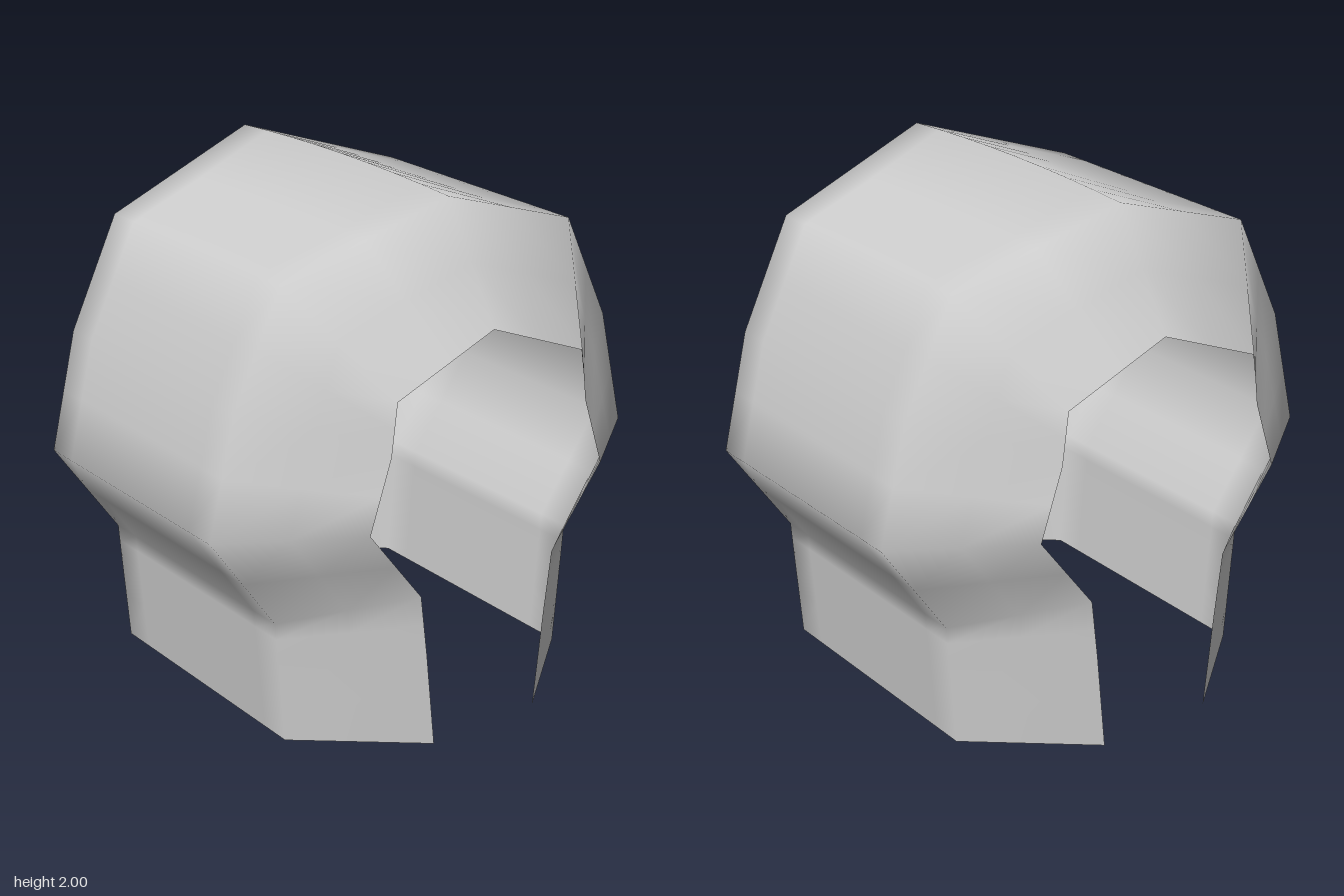
import * as THREE from 'three';

// Half profiles from the front hem to the ridge: middle section [z, y, half width] and side opening [z, y]
const MIDDLE = [[0.66, 0, 0.53], [0.69, 0.36, 0.53], [0.70, 0.49, 0.53], [0.97, 0.88, 0.53],
  [0.86, 1.34, 0.53], [0.66, 1.76, 0.53], [0, 1.98, 0.62]];
const OPENING = [[0.24, 0], [0.28, 0.38], [0.31, 0.62], [0.54, 0.92], [0.45, 1.19], [0.425, 1.39], [0, 1.56]];
const SIDE_X = 0.88;

// Mirrors a half profile to the back and adds a midpoint to each segment
function fullProfile(half) {
  const back = half.slice(0, -1).reverse().map(([z, ...rest]) => [-z, ...rest]);
  const points = [...half, ...back];
  return points.flatMap((p, i) => {
    const next = points[i + 1];
    return next ? [p, p.map((v, k) => (v + next[k]) / 2)] : [p];
  });
}

// One thin sheet: flat across the middle, bevelled in towards both side openings
function shellGeometry() {
  const middle = fullProfile(MIDDLE);
  const opening = fullProfile(OPENING);
  const columns = [-2, -1.5, -1, -0.75, -0.5, -0.25, 0, 0.25, 0.5, 0.75, 1, 1.5, 2];
  const ridge = (middle.length - 1) / 2;
  const positions = [];
  const index = [];
  middle.forEach(([z, y, w], i) => {
    const [oz, oy] = opening[i];
    for (const u of columns) {
      const a = Math.abs(u);
      const t = Math.max(0, a - 1);
      const x = a <= 1 ? u * w : Math.sign(u) * THREE.MathUtils.lerp(w, SIDE_X, t);
      // the ridge line is slightly crowned
      const crown = i === ridge && a < 1 ? 0.02 * (1 - a * a) : 0;
      positions.push(x, THREE.MathUtils.lerp(y, oy, t) + crown, THREE.MathUtils.lerp(z, oz, t));
    }
  });
  const n = columns.length;
  for (let i = 0; i < middle.length - 1; i++) {
    for (let j = 0; j < n - 1; j++) {
      const a = i * n + j;
      index.push(a, a + 1, a + n + 1, a, a + n + 1, a + n);
    }
  }
  const geometry = new THREE.BufferGeometry();
  geometry.setAttribute('position', new THREE.Float32BufferAttribute(positions, 3));
  geometry.setIndex(index);
  geometry.computeVertexNormals();
  return geometry;
}

export function createModel() {
  const lightGrey = new THREE.MeshStandardMaterial({ color: 0xcccccc, side: THREE.DoubleSide });
  lightGrey.name = 'light grey';

  const model = new THREE.Group();
  model.name = 'openSidedShell';
  const shell = new THREE.Mesh(shellGeometry(), lightGrey);
  shell.name = 'shell';
  model.add(shell);
  return model;
}
